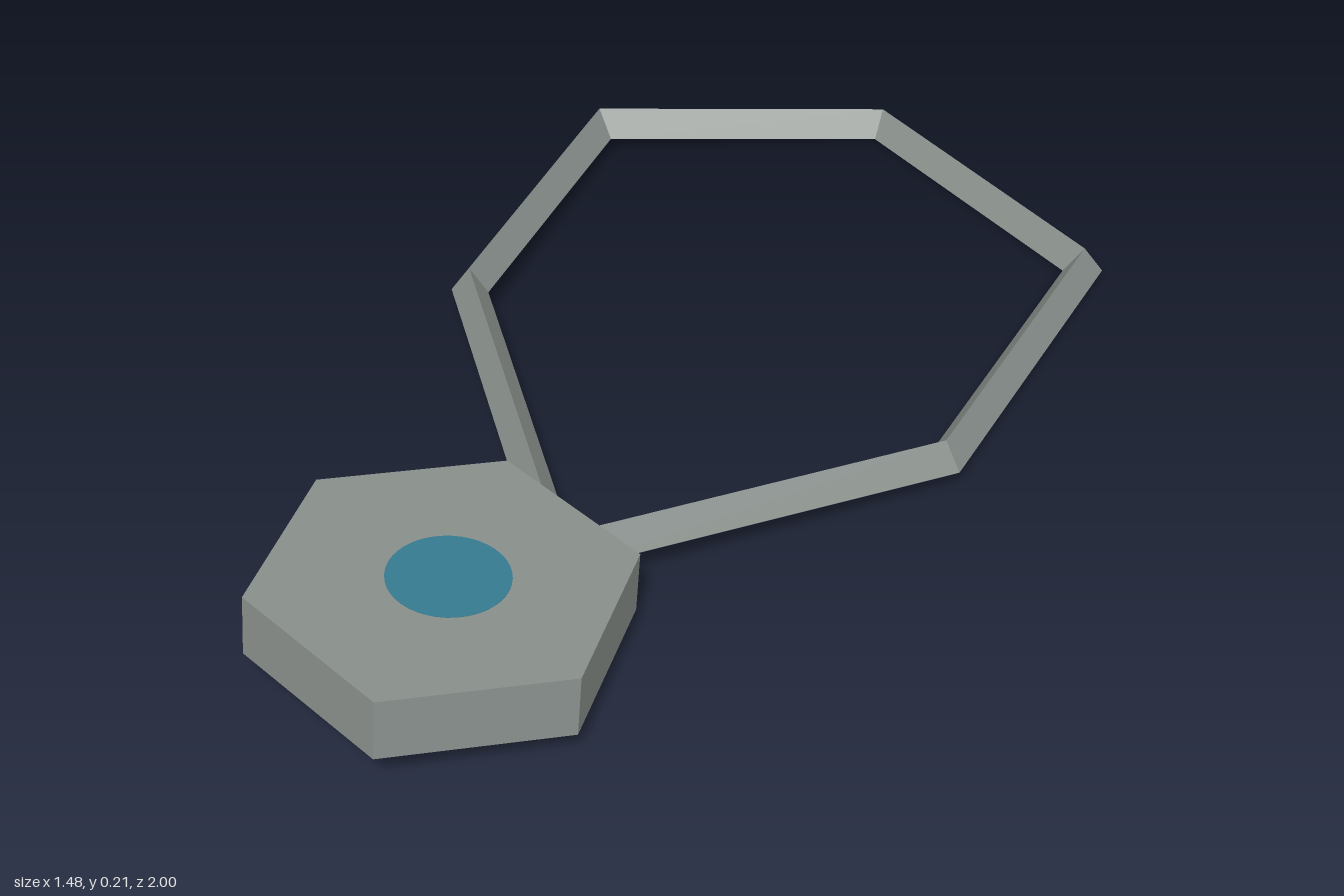
import * as THREE from 'three';

const metal = new THREE.MeshStandardMaterial({ color: 0x8a918d, flatShading: true });
metal.name = 'grey metal';
const blue = new THREE.MeshStandardMaterial({ color: 0x367c92 });
blue.name = 'blue gem';

// Closed loop of triangular section, mitred at every corner and rising gently to the front
function loopGeometry(path, halfWidth, height) {
  const n = path.length;
  const positions = [];
  const index = [];
  const baseY = (z) => 0.003 + 0.066 * (z + 1);
  const outward = (a, b) => new THREE.Vector2(b.y - a.y, a.x - b.x).normalize();
  for (let i = 0; i < n; i++) {
    const p = path[i];
    const n1 = outward(path[(i + n - 1) % n], p);
    const n2 = outward(p, path[(i + 1) % n]);
    const miter = n1.clone().add(n2).normalize();
    miter.multiplyScalar(halfWidth / miter.dot(n1));
    // outer base, top ridge, inner base
    for (const [side, up] of [[1, 0], [0, height], [-1, 0]]) {
      const x = p.x + miter.x * side;
      const z = p.y + miter.y * side;
      positions.push(x, baseY(z) + up, z);
    }
    for (let j = 0; j < 3; j++) {
      const a = i * 3 + j;
      const b = i * 3 + (j + 1) % 3;
      const c = ((i + 1) % n) * 3 + j;
      const d = ((i + 1) % n) * 3 + (j + 1) % 3;
      index.push(a, b, c, b, d, c);
    }
  }
  const indexed = new THREE.BufferGeometry();
  indexed.setAttribute('position', new THREE.Float32BufferAttribute(positions, 3));
  indexed.setIndex(index);
  const geometry = indexed.toNonIndexed();
  geometry.computeVertexNormals();
  return geometry;
}

export function createModel() {
  const model = new THREE.Group();
  model.name = 'amulet';

  // Cord: six straight bars meeting at the pendant
  const corners = [
    [-0.385, -0.965], [0.235, -0.958], [0.56, -0.305],
    [0.4, 0.44], [-0.357, 0.105], [-0.702, -0.46],
  ].map(([x, z]) => new THREE.Vector2(x, z));
  const cord = new THREE.Mesh(loopGeometry(corners, 0.034, 0.054), metal);
  cord.name = 'cord';
  model.add(cord);

  // Pendant: tilted hexagonal block
  const pendant = new THREE.Group();
  pendant.name = 'pendant';
  pendant.position.set(0.408, 0.134, 0.684);
  pendant.rotation.x = -0.07;
  const block = new THREE.Mesh(new THREE.CylinderGeometry(0.337, 0.337, 0.121, 6), metal);
  block.name = 'pendantBlock';
  block.rotation.y = 0.64;
  pendant.add(block);

  // Flush round inlay on the top and bottom faces
  for (const side of [1, -1]) {
    const inlay = new THREE.Mesh(new THREE.CylinderGeometry(0.107, 0.107, 0.002, 40), blue);
    inlay.name = side > 0 ? 'topInlay' : 'bottomInlay';
    inlay.position.set(0.006, side * 0.0605, -0.005);
    pendant.add(inlay);
  }
  model.add(pendant);
  return model;
}
